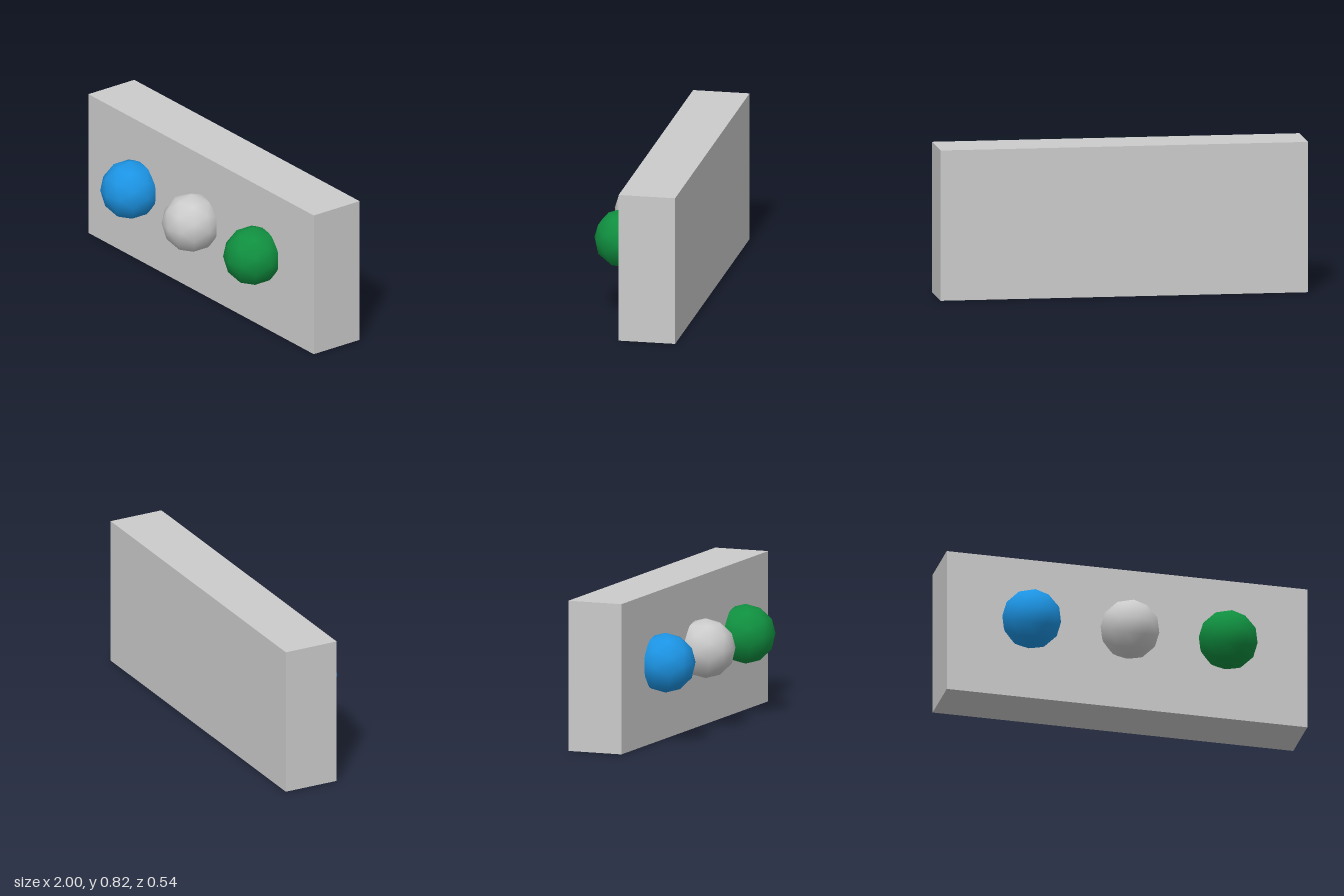
import * as THREE from 'three';

export function createModel() {
  const group = new THREE.Group();

  function add(name, geometry, color, x, y, z) {
    const mesh = new THREE.Mesh(geometry, new THREE.MeshStandardMaterial({ color }));
    mesh.name = name;
    mesh.position.set(x, y, z);
    group.add(mesh);
  }

  // Upright slab
  add('panel', new THREE.BoxGeometry(2, 0.818, 0.31), 0xcccccc, 0, 0.409, -0.113);

  // Row of low-poly smooth balls, sunk part-way into the front of the slab
  const ball = new THREE.IcosahedronGeometry(0.163, 1).rotateX(Math.PI / 2);
  const balls = [
    ['rightBall', 0x1c94e4],
    ['middleBall', 0xcccccc],
    ['leftBall', 0x109040],
  ];
  balls.forEach(([name, color], i) => add(name, ball, color, (i - 1) * 0.545, 0.438, 0.105));

  return group;
}
